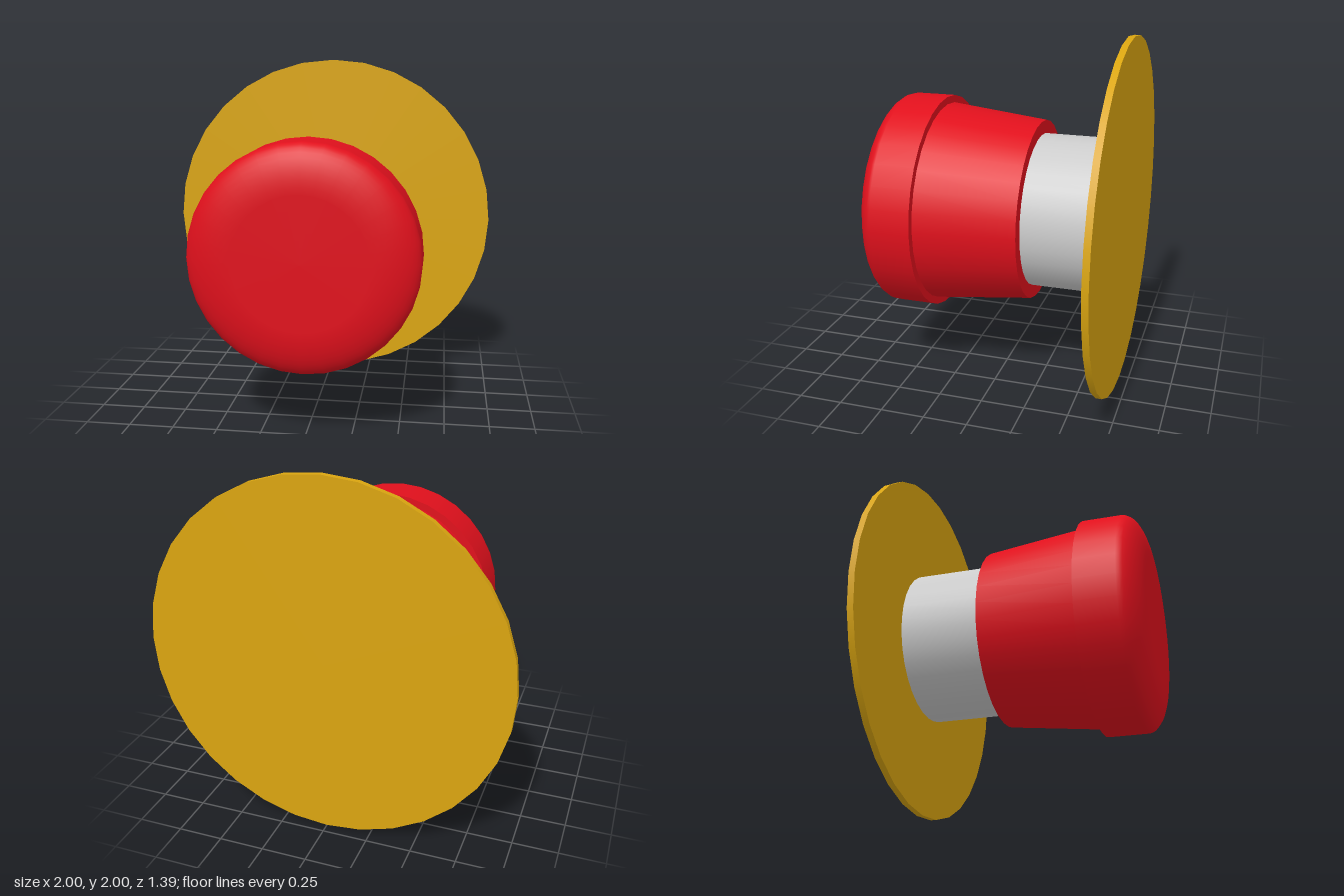
import * as THREE from 'three';

const SIDES = 32;
const red = new THREE.MeshStandardMaterial({ color: 0xe0101c });
const gold = new THREE.MeshStandardMaterial({ color: 0xdaa510 });
const grey = new THREE.MeshStandardMaterial({ color: 0xcccccc });

// Round part along z, from zBack to zFront
function drum(name, rBack, rFront, zBack, zFront, material) {
  const geometry = new THREE.CylinderGeometry(rFront, rBack, zFront - zBack, SIDES);
  geometry.rotateX(Math.PI / 2);
  const mesh = new THREE.Mesh(geometry, material);
  mesh.name = name;
  mesh.position.set(0, 1, (zBack + zFront) / 2);
  return mesh;
}

// Button head: straight rim, rounded edge and flat face
function buttonHead() {
  const head = new THREE.Group();
  head.name = 'buttonHead';
  head.position.y = 1;

  const radius = 0.615, back = 0.355, shoulder = 0.58, front = 0.695, flat = 0.36;
  const profile = [new THREE.Vector2(radius, back)];
  const steps = 10;
  for (let i = 0; i <= steps; i++) {
    const a = (i / steps) * Math.PI / 2;
    profile.push(new THREE.Vector2(
      flat + (radius - flat) * Math.cos(a),
      shoulder + (front - shoulder) * Math.sin(a)
    ));
  }
  profile.push(new THREE.Vector2(0, front));
  const shell = new THREE.Mesh(new THREE.LatheGeometry(profile, SIDES).rotateX(Math.PI / 2), red);
  shell.name = 'buttonShell';

  // Back face of the head, forming the ledge around the collar
  const ledge = new THREE.Mesh(new THREE.CircleGeometry(radius, SIDES).rotateY(Math.PI), red);
  ledge.name = 'buttonLedge';
  ledge.position.z = back;

  head.add(shell, ledge);
  return head;
}

export function createModel() {
  const model = new THREE.Group();
  model.name = 'pushButton';
  model.add(
    drum('backPlate', 1, 1, -0.695, -0.66, gold),
    drum('stem', 0.435, 0.435, -0.66, -0.2, grey),
    drum('taperedCollar', 0.51, 0.573, -0.2, 0.355, red),
    buttonHead()
  );
  return model;
}
